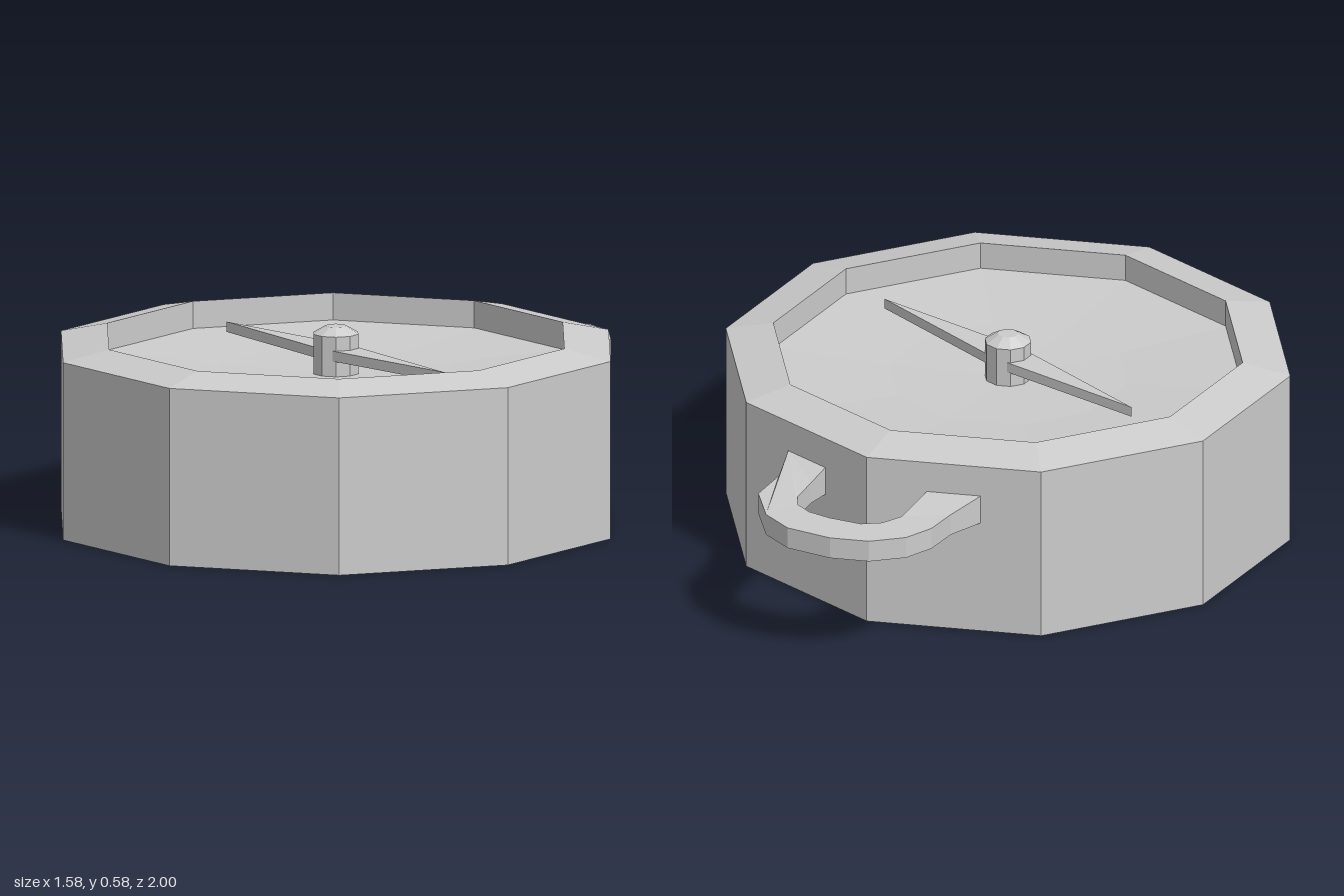
import * as THREE from 'three';

const material = new THREE.MeshStandardMaterial({ color: 0xcccccc, flatShading: true });
const CENTER_Z = 0.17;

function add(group, name, geometry) {
  const mesh = new THREE.Mesh(geometry, material);
  mesh.name = name;
  group.add(mesh);
  return mesh;
}

// Faceted solid of revolution from [radius, height] pairs, bottom to top
function lathe(profile, sides) {
  return new THREE.LatheGeometry(profile.map(([r, y]) => new THREE.Vector2(r, y)), sides);
}

// Flat plate: outline in (x, -z), extruded upward from y0 to y1
function plate(outline, y0, y1) {
  const shape = new THREE.Shape(outline.map(([x, y]) => new THREE.Vector2(x, y)));
  const geometry = new THREE.ExtrudeGeometry(shape, { depth: y1 - y0, bevelEnabled: false });
  return geometry.rotateX(-Math.PI / 2).translate(0, y0, 0);
}

export function createModel() {
  const model = new THREE.Group();
  model.name = 'compass';

  // Ten-sided case with sloped rim and a slightly dished dial
  const body = add(model, 'caseAndDial', lathe([
    [0, 0], [0.83, 0], [0.83, 0.52], [0.69, 0.55],
    [0.69, 0.47], [0.35, 0.45], [0, 0.44],
  ], 10));
  body.position.z = CENTER_Z;

  // Centre pin with a chamfered cap
  const pin = add(model, 'centerPin', lathe([
    [0, 0.43], [0.068, 0.43], [0.068, 0.558], [0.03, 0.58], [0, 0.58],
  ], 10));
  pin.position.z = CENTER_Z;

  // Diamond needle
  const needle = add(model, 'needle', plate(
    [[-0.515, 0], [0, -0.052], [0.515, 0], [0, 0.052]], 0.487, 0.517));
  needle.position.z = CENTER_Z;
  needle.rotation.y = -0.295;

  // Carrying loop at the back, its feet flaring where they meet the case
  const outer = [
    [-0.32, 0.55], [-0.295, 0.69], [-0.293, 0.8], [-0.26, 0.89], [-0.18, 0.965], [-0.07, 1],
    [0.07, 1], [0.17, 0.95], [0.26, 0.835], [0.268, 0.7], [0.32, 0.55],
  ];
  const inner = [
    [0.168, 0.6], [0.163, 0.7], [0.15, 0.8], [0.125, 0.845], [0.07, 0.873], [0, 0.88],
    [-0.1, 0.872], [-0.15, 0.835], [-0.178, 0.77], [-0.168, 0.6],
  ];
  const loop = plate([...outer, ...inner], 0.353, 0.417);
  const p = loop.attributes.position;
  for (let i = 0; i < p.count; i++) {
    if (p.getZ(i) > -0.65) p.setY(i, 0.385 + (p.getY(i) - 0.385) * 1.35);
  }
  add(model, 'carryingLoop', loop);

  return model;
}
